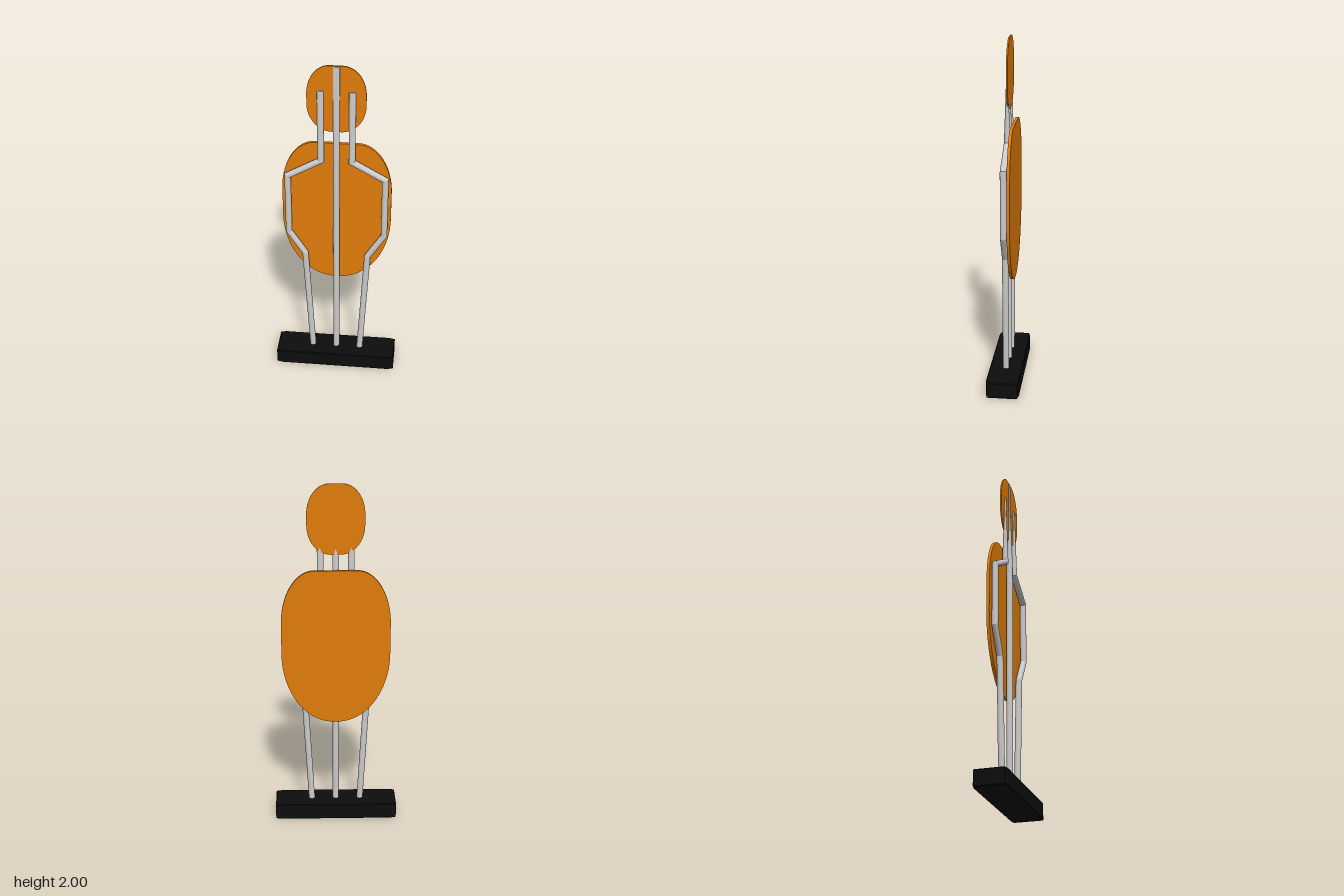
import * as THREE from 'three';
import { mergeGeometries } from 'three/addons/utils/BufferGeometryUtils.js';

const ROD_RADIUS = 0.018;
const SIDES = 20;

// Mitred rod through [x, y, depth scale] points, listed from top to bottom
function rodGeometry(points) {
  const dirs = points.slice(1).map((p, i) =>
    new THREE.Vector2(p[0] - points[i][0], p[1] - points[i][1]).normalize());
  const rings = points.map(([x, y, depth], i) => {
    const a = dirs[Math.max(i - 1, 0)];
    const b = dirs[Math.min(i, dirs.length - 1)];
    const t = a.clone().add(b).normalize();
    const w = ROD_RADIUS / t.dot(a);
    return Array.from({ length: SIDES }, (_, k) => {
      const ang = (k / SIDES) * Math.PI * 2;
      return [x - t.y * w * Math.cos(ang), y + t.x * w * Math.cos(ang),
        ROD_RADIUS * depth * Math.sin(ang)];
    });
  });

  const build = (verts, index) => {
    const g = new THREE.BufferGeometry();
    g.setAttribute('position', new THREE.Float32BufferAttribute(verts.flat(), 3));
    g.setIndex(index);
    g.computeVertexNormals();
    return g;
  };
  const parts = [];
  // Each straight run has its own vertices, so the bends stay sharp
  for (let s = 0; s < rings.length - 1; s++) {
    const index = [];
    for (let k = 0; k < SIDES; k++) {
      const n = (k + 1) % SIDES;
      index.push(k, n, k + SIDES, n, n + SIDES, k + SIDES);
    }
    parts.push(build([...rings[s], ...rings[s + 1]], index));
  }
  // End caps
  [0, rings.length - 1].forEach((r) => {
    const index = [];
    for (let k = 1; k < SIDES - 1; k++) {
      index.push(0, ...(r === 0 ? [k + 1, k] : [k, k + 1]));
    }
    parts.push(build(rings[r], index));
  });
  return mergeGeometries(parts);
}

// Rounded plate outline: flat top, straight sides, rounded bottom
function plateShape({ halfWidth: w, top, bottom, flatTop, flatBottom, sideTop, sideBottom }) {
  const k = 0.5523;
  const s = new THREE.Shape();
  const corner = (x0, y0, cx, cy, x1, y1) => s.bezierCurveTo(
    x0 + (cx - x0) * k, y0 + (cy - y0) * k,
    x1 + (cx - x1) * k, y1 + (cy - y1) * k, x1, y1);
  s.moveTo(flatBottom, bottom);
  corner(flatBottom, bottom, w, bottom, w, sideBottom);
  s.lineTo(w, sideTop);
  corner(w, sideTop, w, top, flatTop, top);
  s.lineTo(-flatTop, top);
  corner(-flatTop, top, -w, top, -w, sideTop);
  s.lineTo(-w, sideBottom);
  corner(-w, sideBottom, -w, bottom, -flatBottom, bottom);
  s.closePath();
  return s;
}

export function createModel() {
  const group = new THREE.Group();
  const metal = new THREE.MeshStandardMaterial({ color: 0xcccccc });
  const orange = new THREE.MeshStandardMaterial({ color: 0xe07c0a });
  const black = new THREE.MeshStandardMaterial({ color: 0x0d0d0d });

  const add = (name, geometry, material) => {
    const mesh = new THREE.Mesh(geometry, material);
    mesh.name = name;
    group.add(mesh);
    return mesh;
  };

  // Base block with clipped corners
  const footprint = new THREE.Shape([
    [0.32, -0.094], [0.355, -0.086], [0.355, 0.086], [0.32, 0.094],
    [-0.32, 0.094], [-0.355, 0.086], [-0.355, -0.086], [-0.32, -0.094],
  ].map(([x, y]) => new THREE.Vector2(x, y)));
  const base = new THREE.ExtrudeGeometry(footprint, {
    depth: 0.085, bevelEnabled: true, bevelThickness: 0.005,
    bevelSize: 0.005, bevelOffset: -0.005, bevelSegments: 1,
  });
  base.rotateX(-Math.PI / 2).translate(0, 0.005, 0);
  add('base', base, black);

  // Body and head plates
  const plate = (name, outline, depth, z) => {
    const geometry = new THREE.ExtrudeGeometry(plateShape(outline), {
      depth, bevelEnabled: false, curveSegments: 24,
    });
    add(name, geometry.translate(0, 0, z), orange);
  };
  plate('bodyPlate', {
    halfWidth: 0.307, top: 1.52, bottom: 0.61, flatTop: 0.12, flatBottom: 0.01,
    sideTop: 1.21, sideBottom: 1.03,
  }, 0.017, -0.039);
  plate('headPlate', {
    halfWidth: 0.16, top: 2, bottom: 1.605, flatTop: 0.035, flatBottom: 0.025,
    sideTop: 1.83, sideBottom: 1.77,
  }, 0.008, -0.01);

  // Centre post, flattened towards the head
  add('centrePost', rodGeometry([
    [0, 1.995, 0.12], [0, 1.8, 0.2], [0, 1.43, 1], [0, 0.09, 1],
  ]), metal);

  // Bent side rods, mirrored
  [['left', 1], ['right', -1]].forEach(([side, sign]) => {
    add(`${side}SideRod`, rodGeometry([
      [0.086, 1.85, 0.15], [0.086, 1.42, 1], [0.272, 1.312, 1],
      [0.272, 0.935, 1], [0.18, 0.785, 1], [0.142, 0.09, 1],
    ].map(([x, y, d]) => [x * sign, y, d])), metal);
  });

  return group;
}
